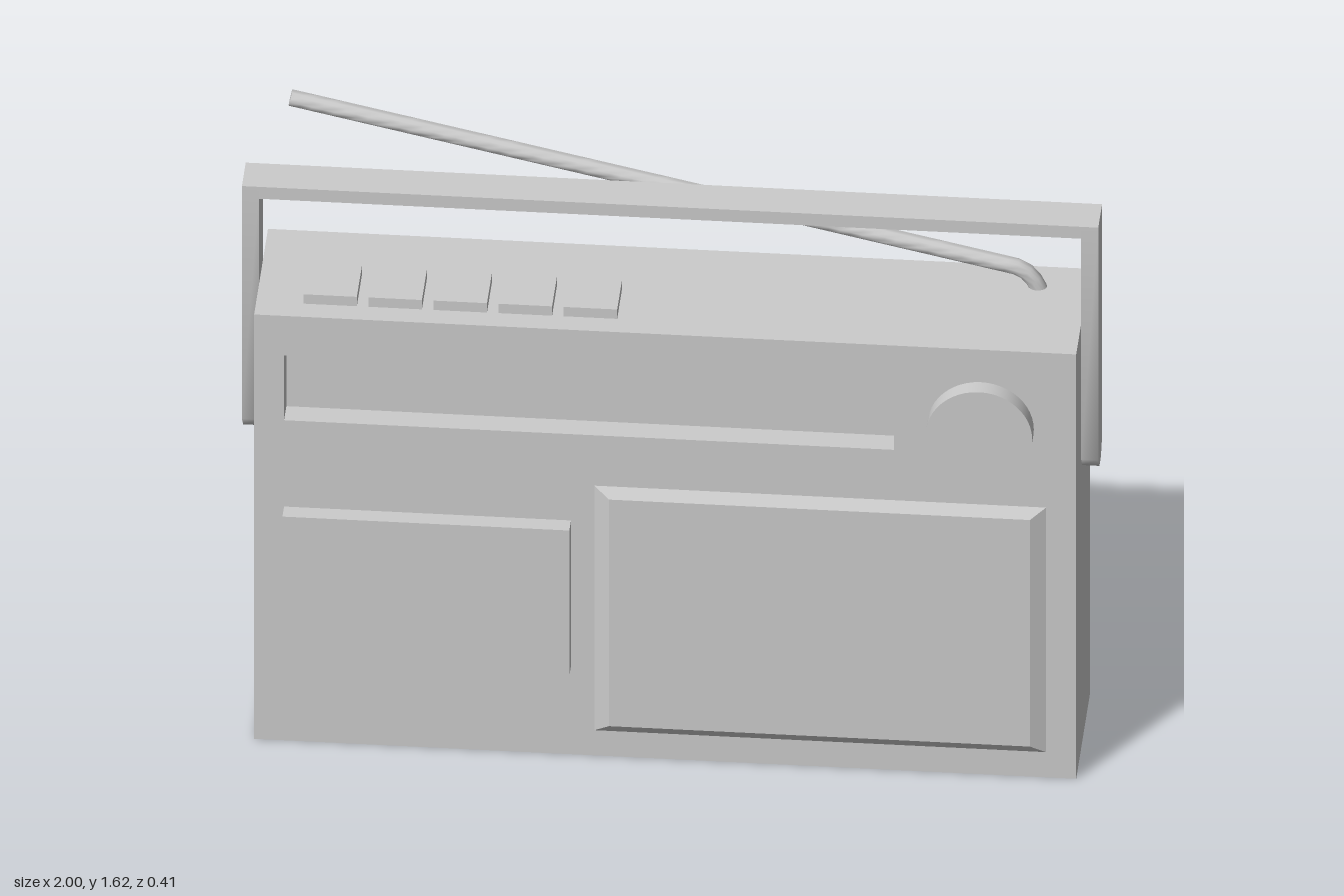
import * as THREE from 'three';
import { toCreasedNormals } from 'three/addons/utils/BufferGeometryUtils.js';

const grey = new THREE.MeshStandardMaterial({ color: 0xcccccc });

// Box given by its min and max on each axis
function boxGeometry(x0, x1, y0, y1, z0, z1) {
  return new THREE.BoxGeometry(x1 - x0, y1 - y0, z1 - z0)
    .translate((x0 + x1) / 2, (y0 + y1) / 2, (z0 + z1) / 2);
}

// Closed rectangle outline, for shapes and holes
function rectangle(x0, x1, y0, y1) {
  return [[x0, y0], [x1, y0], [x1, y1], [x0, y1]].map(([x, y]) => new THREE.Vector2(x, y));
}

export function createModel() {
  const model = new THREE.Group();
  model.name = 'portableRadio';
  const add = (name, geometry, parent = model) => {
    const mesh = new THREE.Mesh(geometry, grey);
    mesh.name = name;
    parent.add(mesh);
    return mesh;
  };

  // Case: solid rear block and a front plate pierced by the tuning window
  const body = new THREE.Group();
  body.name = 'body';
  model.add(body);
  const recessZ = 0.1;
  add('caseRear', boxGeometry(-0.96, 0.96, 0, 1.18, -0.205, recessZ), body);
  const plate = new THREE.Shape(rectangle(-0.96, 0.96, 0, 1.18));
  plate.holes.push(new THREE.Path(rectangle(-0.89, 0.535, 0.89, 1.07)));
  add('caseFront', new THREE.ExtrudeGeometry(plate, { depth: 0.16 - recessZ, bevelEnabled: false })
    .translate(0, 0, recessZ), body);

  // Cassette door
  add('cassetteDoor', boxGeometry(-0.89, -0.22, 0.245, 0.65, 0.15, 0.203));

  // Speaker panel: a box whose front face is drawn in to form sloping edges
  const panel = new THREE.BoxGeometry(1.055, 0.68, 0.018);
  const p = panel.attributes.position;
  for (let i = 0; i < p.count; i++) {
    if (p.getZ(i) > 0) {
      p.setX(i, p.getX(i) - Math.sign(p.getX(i)) * 0.036);
      p.setY(i, p.getY(i) - Math.sign(p.getY(i)) * 0.025);
    }
  }
  const speaker = panel.toNonIndexed();
  speaker.computeVertexNormals();
  add('speakerPanel', speaker.translate(0.362, 0.41, 0.169));

  // Tuning knob
  add('tuningKnob', new THREE.CylinderGeometry(0.124, 0.124, 0.053, 48)
    .rotateX(Math.PI / 2).translate(0.737, 0.966, 0.1765));

  // Row of push buttons
  const buttons = new THREE.Group();
  buttons.name = 'pushButtons';
  model.add(buttons);
  for (let i = 0; i < 5; i++) {
    const x = -0.85 + i * 0.152;
    add('pushButton' + (i + 1), boxGeometry(x, x + 0.125, 1.17, 1.206, -0.025, 0.104), buttons);
  }

  // Carrying handle: cross bar and two arms with clipped lower ends
  const handle = new THREE.Group();
  handle.name = 'handle';
  model.add(handle);
  add('handleBar', boxGeometry(-0.96, 0.96, 1.417, 1.45, -0.07, 0.03), handle);
  const arm = new THREE.Shape([
    [-0.05, 1.45], [-0.05, 0.803], [-0.02, 0.768], [0.02, 0.768], [0.05, 0.803], [0.05, 1.45],
  ].map(([z, y]) => new THREE.Vector2(z, y)));
  const armGeometry = toCreasedNormals(
    new THREE.ExtrudeGeometry(arm, { depth: 0.04, bevelEnabled: false })
      .translate(0, 0, -0.02).rotateY(Math.PI / 2), 1);
  for (const side of [-1, 1]) {
    const mesh = add(side > 0 ? 'handleArmLeft' : 'handleArmRight', armGeometry, handle);
    mesh.position.set(side * 0.98, 0, -0.02);
  }

  // Aerial: short bend out of the case top, then a long straight rod
  const path = new THREE.CurvePath();
  const at = (x, y) => new THREE.Vector3(x, y, -0.122);
  path.add(new THREE.QuadraticBezierCurve3(at(0.855, 1.15), at(0.838, 1.222), at(0.79, 1.233)));
  path.add(new THREE.LineCurve3(at(0.79, 1.233), at(-0.9, 1.603)));
  const section = new THREE.Shape();
  section.absarc(0, 0, 0.02, 0, Math.PI * 2);
  add('aerial', toCreasedNormals(new THREE.ExtrudeGeometry(section,
    { steps: 70, curveSegments: 8, extrudePath: path, bevelEnabled: false }), 0.9));

  return model;
}
